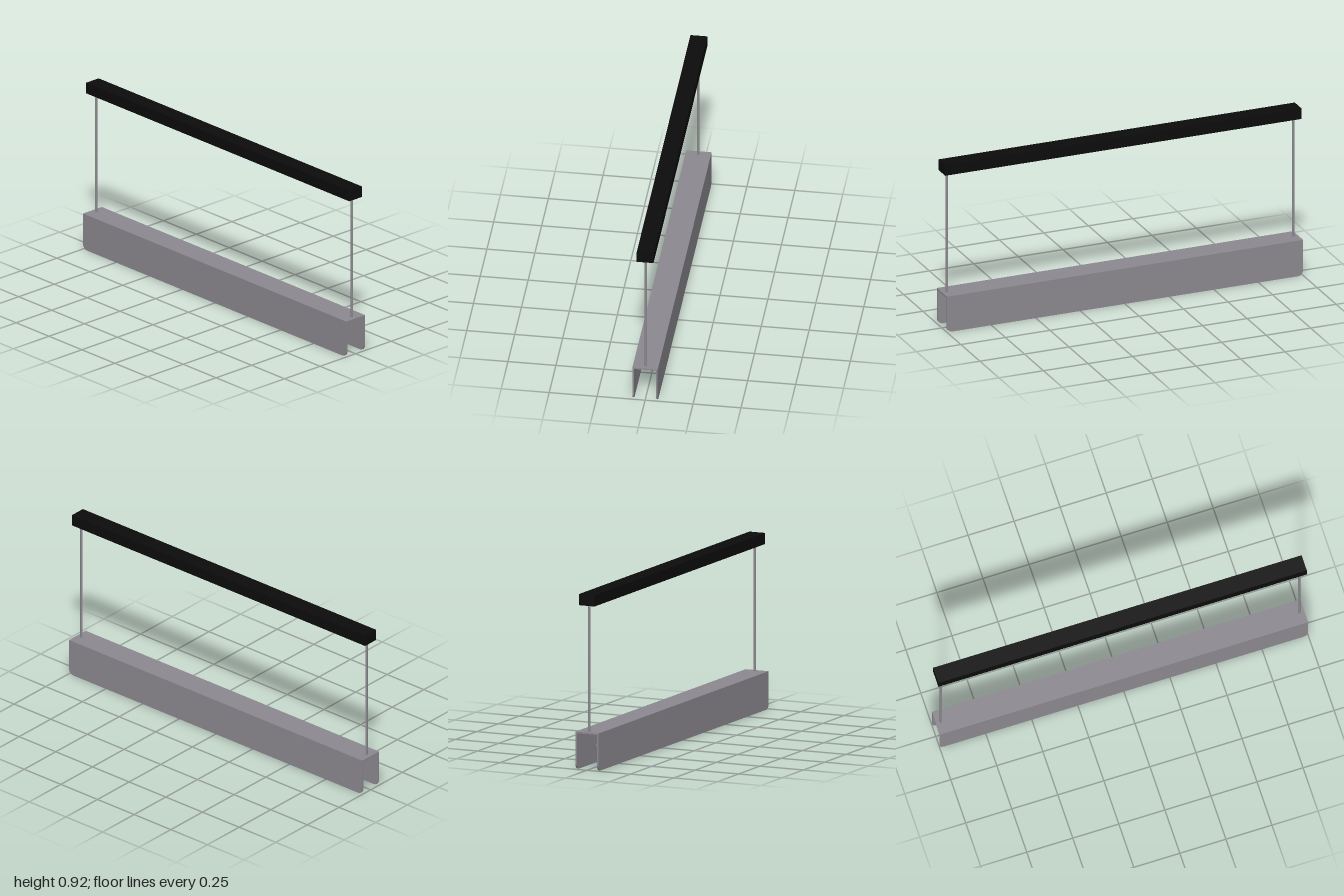
import * as THREE from 'three';

const metal = new THREE.MeshStandardMaterial({ color: 0x8c8a90 });
metal.name = 'brushedMetal';
const black = new THREE.MeshStandardMaterial({ color: 0x0c0c0c });
black.name = 'blackFinish';
const glow = new THREE.MeshStandardMaterial({ color: 0xded7a8 });
glow.name = 'warmGlass';

const TOP = 0.198, THICK = 0.008, HALF_DEPTH = 0.066, BULBS = 5;

export function createModel() {
  const model = new THREE.Group();
  model.name = 'linearPendantLight';

  const add = (name, geometry, material, x, y, z) => {
    const mesh = new THREE.Mesh(geometry, material);
    mesh.name = name;
    mesh.position.set(x, y, z);
    model.add(mesh);
    return mesh;
  };

  // Ceiling canopy
  add('canopy', new THREE.BoxGeometry(2, 0.059, 0.088), black, 0, 0.8925, 0);

  // Suspension rods
  const rod = new THREE.CylinderGeometry(0.0065, 0.0065, 0.863 - TOP, 20);
  for (const side of [-1, 1]) {
    add(side > 0 ? 'leftRod' : 'rightRod', rod, metal, side * 0.972, (0.863 + TOP) / 2, 0);
  }

  // Shade: top plate and two side plates with rounded lower corners
  add('shadeTop', new THREE.BoxGeometry(2, THICK, 2 * (HALF_DEPTH - THICK)), metal, 0, TOP - THICK / 2, 0);

  const r = 0.03;
  const outline = new THREE.Shape();
  outline.moveTo(-1, TOP);
  outline.lineTo(-1, r);
  outline.absarc(-1 + r, r, r, Math.PI, Math.PI * 1.5, false);
  outline.lineTo(1 - r, 0);
  outline.absarc(1 - r, r, r, -Math.PI / 2, 0, false);
  outline.lineTo(1, TOP);
  outline.closePath();
  const plate = new THREE.ExtrudeGeometry(outline, { depth: THICK, bevelEnabled: false, curveSegments: 8 });
  add('frontShadePlate', plate, metal, 0, 0, HALF_DEPTH - THICK);
  add('backShadePlate', plate, metal, 0, 0, -HALF_DEPTH);

  // Globe bulbs hanging from short sockets inside the shade
  const socket = new THREE.CylinderGeometry(0.011, 0.011, 0.056, 20);
  const globe = new THREE.SphereGeometry(0.038, 32, 20);
  for (let i = 0; i < BULBS; i++) {
    const x = -0.8 + (1.6 * i) / (BULBS - 1);
    add('socket', socket, black, x, 0.163, 0);
    add('bulb', globe, glow, x, 0.1, 0);
  }

  return model;
}
